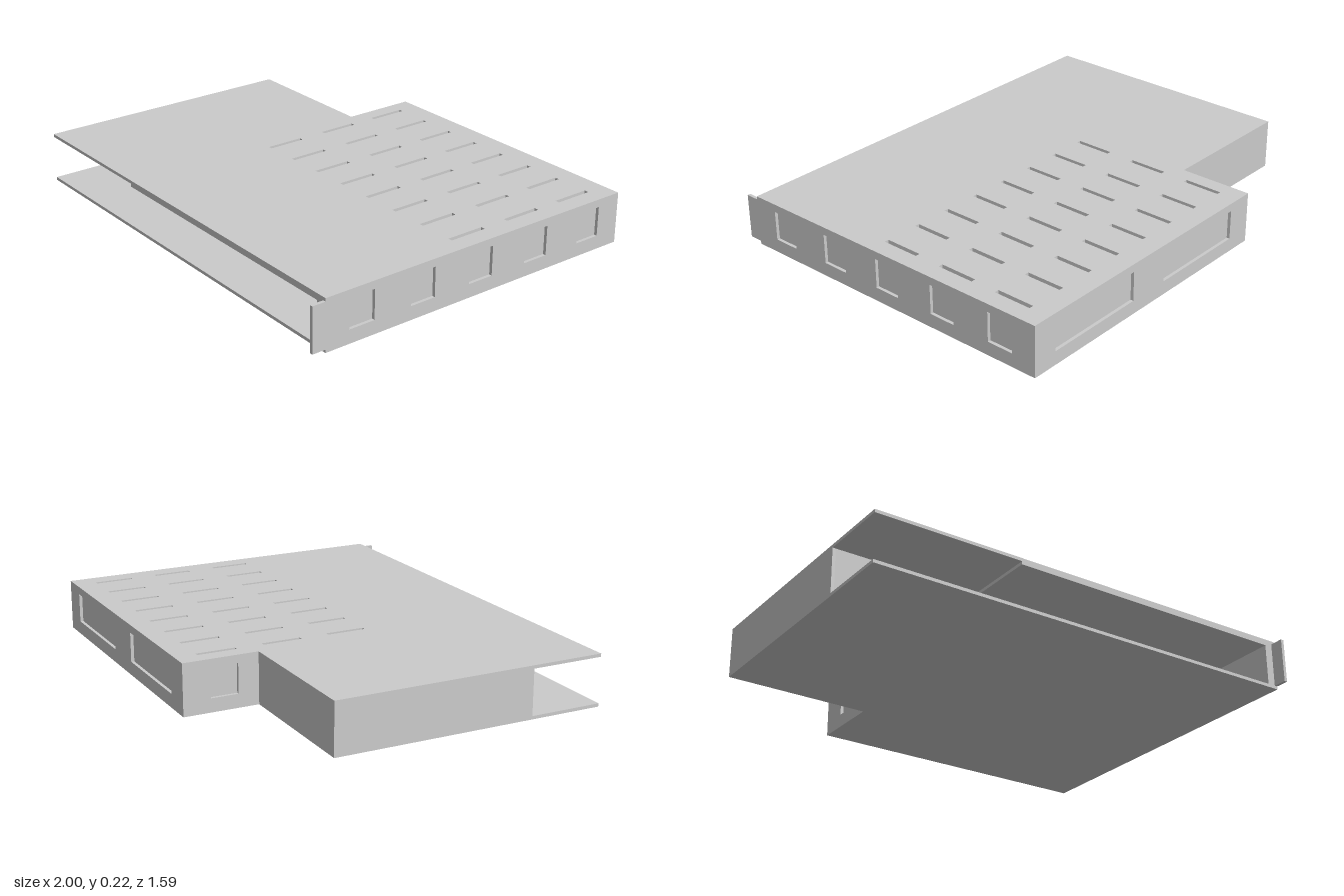
import * as THREE from 'three';

const T = 0.014;            // sheet thickness
const H = 0.225;            // overall height
const BACK = -0.8, STEP = -0.47, FRONT = 0.73, NOTCH = -0.35;

export function createModel() {
  const model = new THREE.Group();
  const mat = new THREE.MeshStandardMaterial({ color: 0xcccccc, flatShading: true });

  const add = (name, geo) => {
    const mesh = new THREE.Mesh(geo, mat);
    mesh.name = name;
    model.add(mesh);
    return mesh;
  };
  const box = (name, x0, x1, y0, y1, z0, z1) => {
    const mesh = add(name, new THREE.BoxGeometry(x1 - x0, y1 - y0, z1 - z0));
    mesh.position.set((x0 + x1) / 2, (y0 + y1) / 2, (z0 + z1) / 2);
    return mesh;
  };
  const polygon = (points) => new THREE.Shape(points.map(([a, b]) => new THREE.Vector2(a, b)));
  const rect = (a0, a1, b0, b1) => [[a0, b0], [a1, b0], [a1, b1], [a0, b1]];
  const cut = (shape, holes) => {
    holes.forEach((h) => shape.holes.push(new THREE.Path(polygon(rect(...h)).getPoints())));
    return shape;
  };
  const extrude = (shape, depth) => new THREE.ExtrudeGeometry(shape, { depth, bevelEnabled: false });

  // Horizontal sheet: points are (x, -z), extruded upward from y0
  const sheet = (name, points, holes, y0, y1) => {
    const geo = extrude(cut(polygon(points), holes), y1 - y0);
    geo.rotateX(-Math.PI / 2);
    add(name, geo).position.y = y0;
  };
  // Wall across x: spans z and y, starts at x0
  const sideWall = (name, x0, z0, z1, holes) => {
    const shape = cut(polygon(rect(-z1, -z0, T, H - T)), holes.map(([a, b, c, d]) => [-b, -a, c, d]));
    const geo = extrude(shape, T);
    geo.rotateY(Math.PI / 2);
    add(name, geo).position.x = x0;
  };
  // Wall across z: spans x and y, starts at z0
  const rearWall = (name, z0, x0, x1, holes) => {
    const geo = extrude(cut(polygon(rect(x0, x1, T, H - T)), holes), T);
    add(name, geo).position.z = z0;
  };

  // Top and bottom plates share an outline with one rear corner cut away
  const outline = [[-1, -FRONT], [1, -FRONT], [1, -BACK], [NOTCH, -BACK], [NOTCH, -STEP], [-1, -STEP]];
  const slots = [];
  for (const z of [-0.62, -0.33, -0.035]) {
    for (let i = 0; i < 8; i++) {
      const x = -0.272 + i * 0.169;
      slots.push([x - 0.01, x + 0.01, -z - 0.086, -z + 0.086]);
    }
  }
  sheet('bottomPlate', outline, [], 0, T);
  sheet('topPlate', outline, slots, H - T, H);

  // Inner liner under the slotted area
  const linerOutline = rect(NOTCH + T, 1 - T, -FRONT, -BACK - T);
  sheet('topLiner', linerOutline, slots, H - 2 * T, H - T);
  box('sideLiner', 0.95, 1 - T, T, H - 2 * T, BACK + T, FRONT);
  box('rearLiner', NOTCH + T, 0.95, T, H - 2 * T, BACK + T, BACK + 2 * T);
  box('notchLiner', NOTCH + T, NOTCH + 2 * T, T, H - 2 * T, BACK + 2 * T, STEP);

  // Sloping vanes that close the slots from below
  slots.forEach(([x0, x1, b0, b1]) => {
    const vane = box('slotVane', x0, x1, 0.185, 0.189, -b1, -b0);
    vane.rotation.x = 0.16;
  });

  // Right-hand wall with five shallow windows and a tab past the front edge
  const windows = [];
  for (let i = 0; i < 5; i++) {
    const z = 0.5 - i * 0.297;
    windows.push([z, z + 0.12, 0.06, 0.19]);
  }
  sideWall('leftWall', 1 - T, BACK, 0.79, windows);

  // Rear wall with two wide windows, and the stepped corner
  rearWall('rearWall', BACK, NOTCH, 1 - T, [[0.42, 0.885, 0.06, 0.19], [-0.23, 0.225, 0.06, 0.19]]);
  sideWall('notchWall', NOTCH, BACK + T, STEP + T, [[-0.68, -0.56, 0.06, 0.19]]);
  rearWall('stepWall', STEP, -1, NOTCH, []);

  // Outer side wall and the set-back front wall
  sideWall('rightWall', -1, STEP + T, 0.41, []);
  rearWall('frontWall', 0.41 - T, -1 + T, 0.95, []);

  return model;
}
